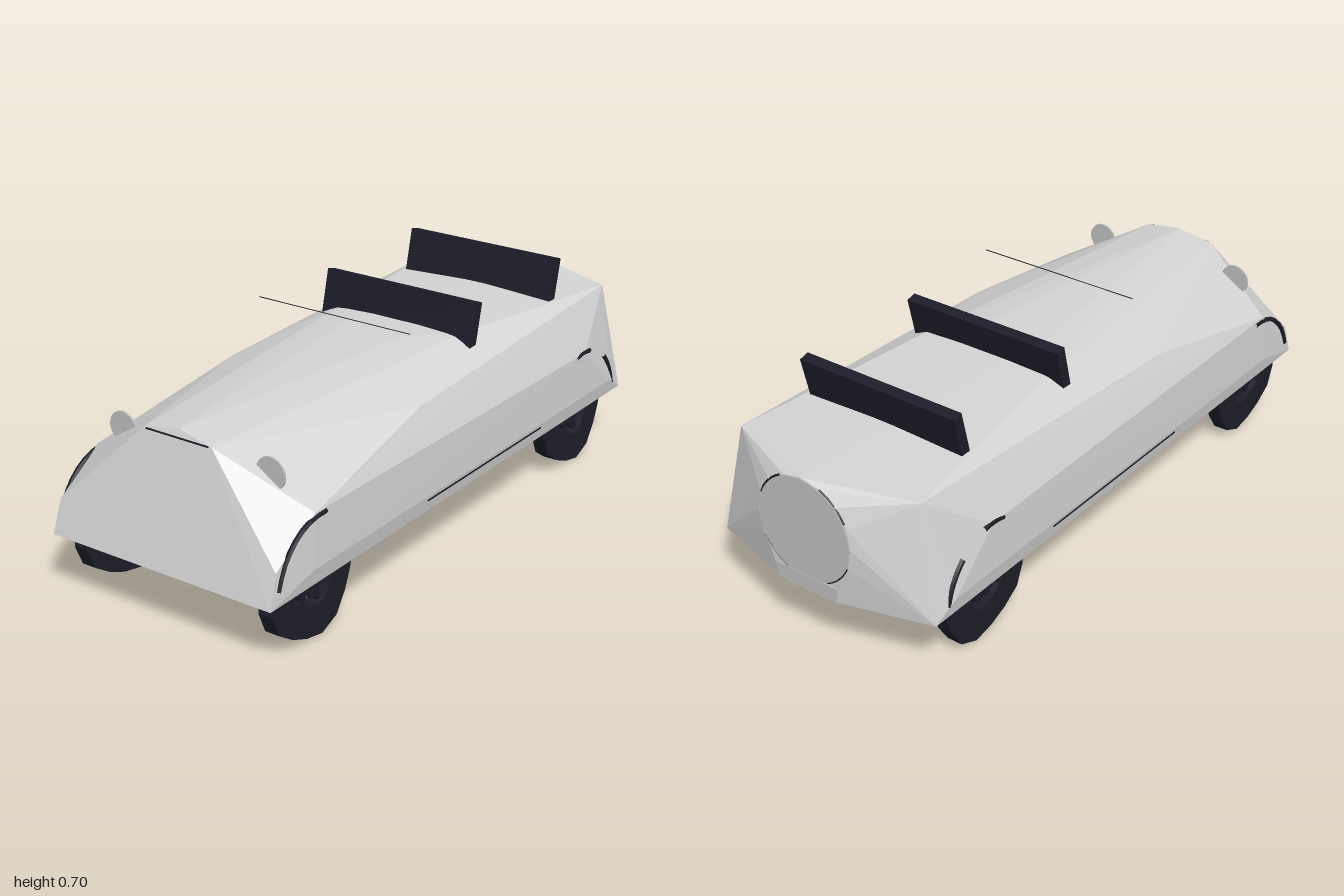
import * as THREE from 'three';
import { ConvexGeometry } from 'three/addons/geometries/ConvexGeometry.js';

const paint = new THREE.MeshStandardMaterial({ color: 0xd4d4d4, flatShading: true });
paint.name = 'light grey paint';
const trim = new THREE.MeshStandardMaterial({ color: 0x1d1d29, flatShading: true });
trim.name = 'dark trim';
const lens = new THREE.MeshStandardMaterial({ color: 0xc4c4c4, flatShading: true });
lens.name = 'grey lens';

function add(parent, name, geometry, material, x = 0, y = 0, z = 0) {
  const mesh = new THREE.Mesh(geometry, material);
  mesh.name = name;
  mesh.position.set(x, y, z);
  parent.add(mesh);
  return mesh;
}

// Closed jagged outline alternating between two radii
function jagged(count, outer, inner) {
  const pts = [];
  for (let i = 0; i < count; i++) {
    const a = (i / count) * Math.PI * 2 - Math.PI / 2 + Math.PI / count;
    const r = i % 4 < 2 ? outer : inner;
    pts.push(new THREE.Vector2(Math.cos(a) * r, Math.sin(a) * r));
  }
  return pts;
}

// Faceted body: mirrored corner points plus the round tail panel
function bodyGeometry() {
  const half = [
    [0.39, 0.2, 1], [0.385, 0.3, 0.968], [0.39, 0.41, 0.8], [0.12, 0.565, 0.897],
    [0.398, 0.25, 0.82], [0.398, 0.25, -0.82], [0.393, 0.4, -0.65],
    [0.345, 0.51, 0.24], [0.325, 0.556, -0.87], [0.39, 0.2, -0.9],
    [0.1, 0.591, 0], [0.23, 0.58, -0.2], [0.1, 0.2, -0.98],
  ];
  const pts = [new THREE.Vector3(0, 0.586, 0.888)];
  for (const [x, y, z] of half) {
    pts.push(new THREE.Vector3(x, y, z), new THREE.Vector3(-x, y, z));
  }
  for (let i = 0; i < 16; i++) {
    const a = (i / 16) * Math.PI * 2;
    pts.push(new THREE.Vector3(Math.cos(a) * 0.168, 0.4 + Math.sin(a) * 0.168, -0.98));
  }
  return new ConvexGeometry(pts);
}

// Knobbly tyre with an open gap around a toothed hub
function makeWheel(name, x, z) {
  const wheel = new THREE.Group();
  wheel.name = name;
  wheel.position.set(x, 0.187, z);
  const tyre = new THREE.Shape(jagged(16, 0.186, 0.172));
  tyre.holes.push(new THREE.Path(jagged(16, 0.09, 0.082).reverse()));
  const tyreGeo = new THREE.ExtrudeGeometry(tyre, { depth: 0.048, bevelEnabled: false });
  tyreGeo.translate(0, 0, -0.024).rotateY(Math.PI / 2);
  add(wheel, 'tyre', tyreGeo, trim);
  const hubGeo = new THREE.ExtrudeGeometry(new THREE.Shape(jagged(20, 0.068, 0.05)),
    { depth: 0.03, bevelEnabled: false });
  hubGeo.translate(0, 0, -0.015).rotateY(Math.PI / 2);
  add(wheel, 'hub', hubGeo, trim);
  for (let i = 0; i < 3; i++) {
    const spoke = add(wheel, 'spoke', new THREE.BoxGeometry(0.02, 0.19, 0.02), trim);
    spoke.rotation.x = Math.PI / 2 + (i - 1) * Math.PI / 3;
  }
  return wheel;
}

// Thin arc along a wheel opening, angles in degrees from the front
function addArch(parent, side, z, from, to) {
  const pts = [];
  for (let i = 0; i <= 5; i++) {
    const a = THREE.MathUtils.degToRad(from + (to - from) * i / 5);
    pts.push(new THREE.Vector3(side * 0.389, 0.19 + Math.sin(a) * 0.21, z + Math.cos(a) * 0.2));
  }
  const curve = new THREE.CatmullRomCurve3(pts);
  add(parent, 'wheelArch', new THREE.TubeGeometry(curve, 8, 0.008, 5), trim);
}

export function createModel() {
  const car = new THREE.Group();
  car.name = 'openCar';
  add(car, 'body', bodyGeometry(), paint);

  // Tilted backrests
  for (const [name, y, z] of [['frontBackrest', 0.615, -0.16], ['rearBackrest', 0.625, -0.633]]) {
    const seat = add(car, name, new THREE.BoxGeometry(0.555, 0.15, 0.034), trim, 0, y, z);
    seat.rotation.x = -0.24;
  }

  // Windscreen top edge and bonnet lip
  add(car, 'windscreenTopEdge', new THREE.BoxGeometry(0.55, 0.002, 0.002), trim, 0, 0.7, 0.19);
  add(car, 'bonnetLip', new THREE.BoxGeometry(0.22, 0.004, 0.006), trim, 0, 0.564, 0.897);

  for (const side of [1, -1]) {
    const label = side > 0 ? 'left' : 'right';
    car.add(makeWheel(label + 'FrontWheel', side * 0.334, 0.77));
    car.add(makeWheel(label + 'RearWheel', side * 0.334, -0.65));
    addArch(car, side, 0.77, 15, 95);
    addArch(car, side, -0.65, 75, 100);
    addArch(car, side, -0.65, 130, 168);
    add(car, label + 'SillLine', new THREE.BoxGeometry(0.006, 0.005, 0.64), trim,
      side * 0.395, 0.237, -0.05);
    // Upright round headlamp half sunk into the wing
    const lamp = add(car, label + 'Headlamp', new THREE.CylinderGeometry(0.049, 0.049, 0.006, 20),
      lens, side * 0.262, 0.501, 0.825);
    lamp.rotation.x = Math.PI / 2;
  }

  // Round tail panel with broken dark rim, and the plate below it
  const panel = add(car, 'spareWheelCover', new THREE.CylinderGeometry(0.164, 0.164, 0.006, 24),
    lens, 0, 0.4, -0.979);
  panel.rotation.x = Math.PI / 2;
  for (let i = 0; i < 4; i++) {
    const rim = add(car, 'coverRim', new THREE.TorusGeometry(0.166, 0.004, 4, 6, 0.7),
      trim, 0, 0.4, -0.978);
    rim.rotation.z = i * Math.PI / 2 + 0.4;
  }
  add(car, 'rearPlate', new THREE.BoxGeometry(0.22, 0.05, 0.006), lens, 0, 0.225, -0.98);
  return car;
}
